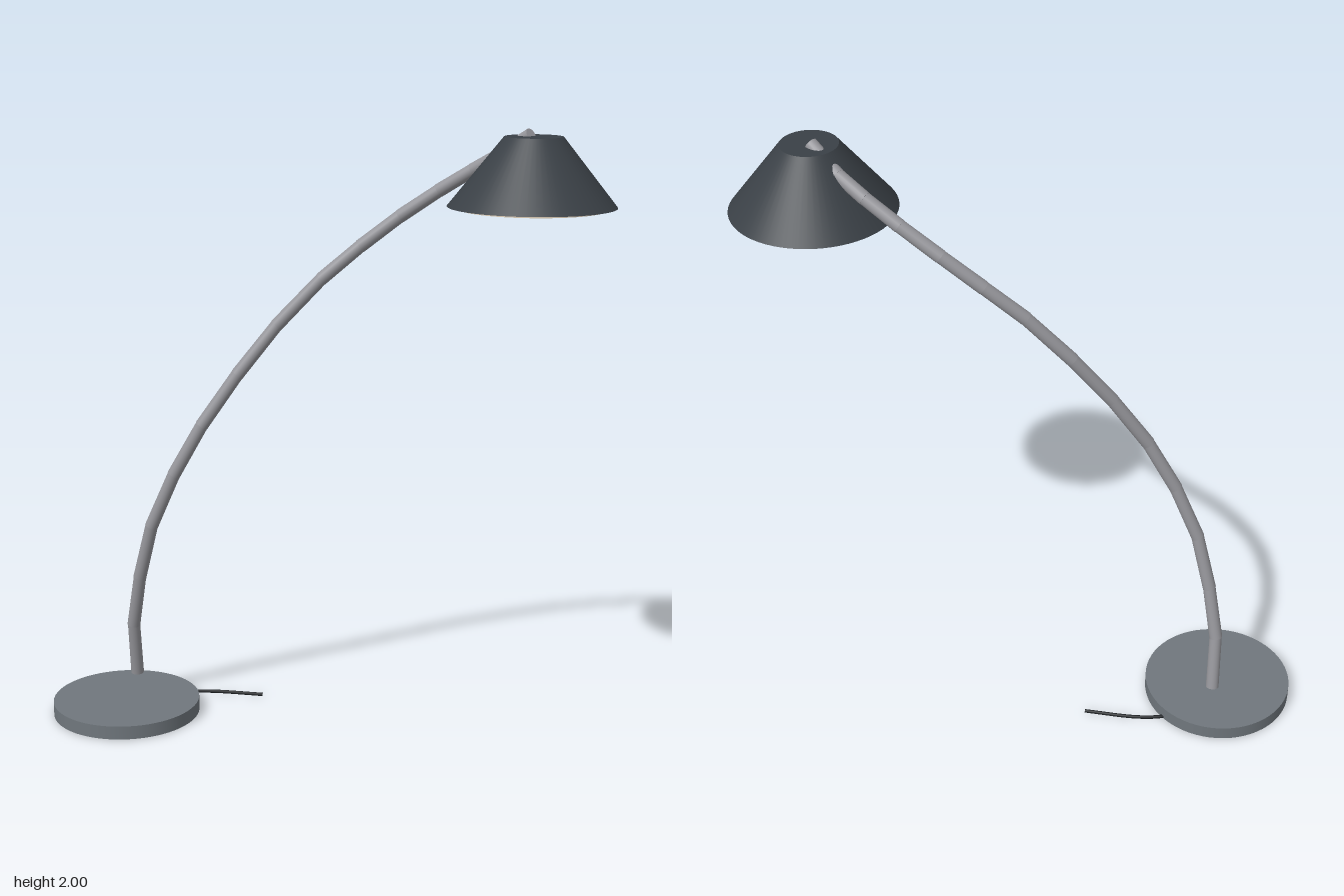
import * as THREE from 'three';

const mat = (name, color) => {
  const m = new THREE.MeshStandardMaterial({ color });
  m.name = name;
  return m;
};

export function createModel() {
  const model = new THREE.Group();
  model.name = 'arcLamp';

  const baseGrey = mat('base grey', 0x70777d);
  const steel = mat('brushed steel', 0x97979c);
  const charcoal = mat('charcoal', 0x3a4046);
  const cream = mat('cream diffuser', 0xdcccb5);
  const black = mat('cable black', 0x1e2124);

  const add = (name, geometry, material, x = 0, y = 0, z = 0, parent = model) => {
    const mesh = new THREE.Mesh(geometry, material);
    mesh.name = name;
    mesh.position.set(x, y, z);
    parent.add(mesh);
    return mesh;
  };

  // Round floor base
  add('base', new THREE.CylinderGeometry(0.249, 0.249, 0.046, 64), baseGrey, -0.675, 0.029, 0.059);

  // Arched arm: a chain of straight rods following a gentle S in plan
  const arm = new THREE.Group();
  arm.name = 'arm';
  model.add(arm);
  const joints = [
    [-0.675, 0.11, -0.045], [-0.667, 0.30, -0.005], [-0.627, 0.485, 0.027],
    [-0.572, 0.675, 0.048], [-0.488, 0.86, 0.049], [-0.393, 1.03, 0.034],
    [-0.28, 1.20, -0.004], [-0.16, 1.36, -0.052], [-0.022, 1.51, -0.092],
    [0.10, 1.617, -0.125], [0.225, 1.715, -0.145], [0.35, 1.80, -0.146],
    [0.46, 1.868, -0.132], [0.55, 1.921, -0.108], [0.645, 1.983, -0.061],
  ].map((p) => new THREE.Vector3(...p));
  const up = new THREE.Vector3(0, 1, 0);
  for (let i = 0; i < joints.length - 1; i++) {
    const dir = joints[i + 1].clone().sub(joints[i]);
    const length = dir.length();
    const mid = joints[i].clone().add(joints[i + 1]).multiplyScalar(0.5);
    const rod = add('armSegment', new THREE.CylinderGeometry(0.021, 0.022, length + 0.006, 20),
      steel, mid.x, mid.y, mid.z, arm);
    rod.quaternion.setFromUnitVectors(up, dir.normalize());
  }

  // Conical shade with a recessed-looking diffuser on its underside
  add('shade', new THREE.CylinderGeometry(0.09, 0.26, 0.212, 64), charcoal, 0.658, 1.874, -0.05);
  add('diffuser', new THREE.CylinderGeometry(0.23, 0.23, 0.008, 64), cream, 0.658, 1.765, -0.05);

  // Power cable leaving the back of the base
  const cable = new THREE.CatmullRomCurve3([
    new THREE.Vector3(-0.56, 0.011, -0.12),
    new THREE.Vector3(-0.51, 0.011, -0.146),
    new THREE.Vector3(-0.43, 0.011, -0.168),
    new THREE.Vector3(-0.262, 0.011, -0.186),
  ]);
  add('cable', new THREE.TubeGeometry(cable, 16, 0.006, 10), black);

  return model;
}
